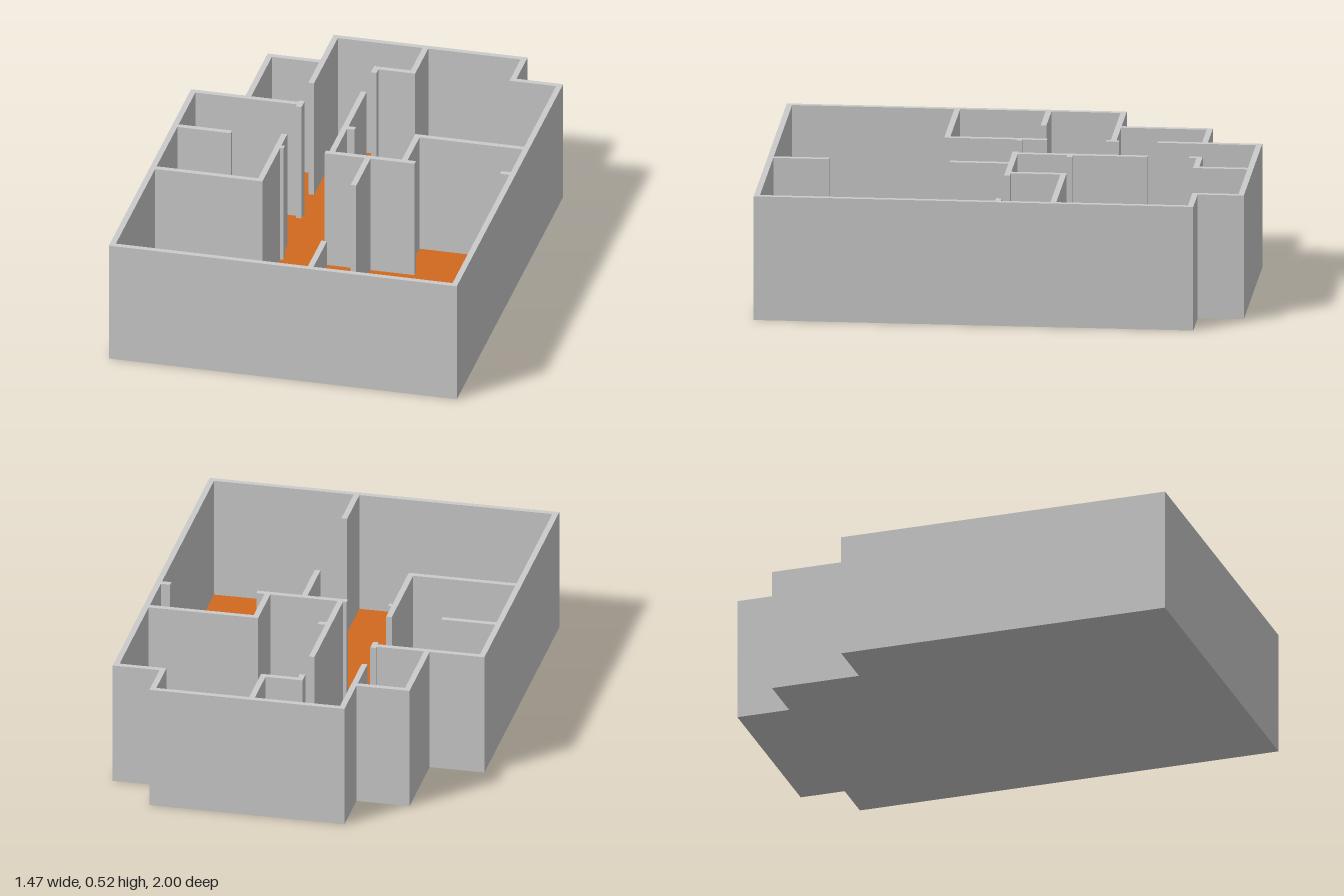
import * as THREE from 'three';

const HEIGHT = 0.525, SLAB = 0.006, T = 0.024;

// Shape from [x, z] plan points; after rotateX(-90deg) the plan lies flat
const plan = (pts) => new THREE.Shape(pts.map(([x, z]) => new THREE.Vector2(x, -z)));

function extrudeUp(shape, y0, y1) {
  const geo = new THREE.ExtrudeGeometry(shape, { depth: y1 - y0, bevelEnabled: false });
  return geo.rotateX(-Math.PI / 2).translate(0, y0, 0);
}

export function createModel() {
  const group = new THREE.Group();
  const grey = new THREE.MeshStandardMaterial({ color: 0xcccccc });
  const orange = new THREE.MeshStandardMaterial({ color: 0xd2691e });
  const add = (name, geo, mat, parent = group) => {
    const mesh = new THREE.Mesh(geo, mat);
    mesh.name = name;
    parent.add(mesh);
  };

  // Outer and inner faces of the perimeter wall
  const outer = [
    [-0.735, 1], [0.735, 1], [0.735, -0.81], [0.538, -0.81], [0.538, -1],
    [-0.282, -1], [-0.282, -0.776], [-0.505, -0.776], [-0.505, -0.4], [-0.735, -0.4],
  ];
  const inner = [
    [-0.711, 0.976], [0.711, 0.976], [0.711, -0.786], [0.514, -0.786], [0.514, -0.976],
    [-0.258, -0.976], [-0.258, -0.752], [-0.481, -0.752], [-0.481, -0.376], [-0.711, -0.376],
  ];

  add('baseSlab', extrudeUp(plan(outer), 0, SLAB), grey);
  add('floor', new THREE.ShapeGeometry(plan(inner)).rotateX(-Math.PI / 2).translate(0, SLAB + 0.001, 0), orange);
  const ring = plan(outer);
  ring.holes.push(plan(inner));
  add('outerWall', extrudeUp(ring, SLAB, HEIGHT), grey);

  // Partitions: walls along z are [x, z0, z1], walls along x are [z, x0, x1], given by centre line
  const alongZ = [
    [-0.27, -0.98, -0.57], [-0.27, -0.412, -0.358], [-0.27, -0.115, 0.308],
    [0.112, -0.98, -0.752], [-0.043, -0.776, -0.72], [-0.043, -0.55, 0.008],
    [0.263, -0.244, 0.008], [0.112, 0, 0.25], [0.112, 0.747, 0.98],
  ];
  const alongX = [
    [-0.764, -0.055, 0.124], [-0.388, -0.5, -0.258], [-0.232, -0.043, 0.0],
    [-0.232, 0.251, 0.72], [-0.004, -0.07, 0.31], [-0.004, 0.672, 0.72],
    [-0.004, -0.27, -0.243], [0.296, -0.72, -0.258], [-0.08, -0.72, -0.485],
  ];
  const partitions = new THREE.Group();
  partitions.name = 'partitionWalls';
  group.add(partitions);
  const h = HEIGHT - SLAB, y = SLAB + h / 2;
  alongZ.forEach(([x, a, b]) =>
    add('partition', new THREE.BoxGeometry(T, h, b - a).translate(x, y, (a + b) / 2), grey, partitions));
  alongX.forEach(([z, a, b]) =>
    add('partition', new THREE.BoxGeometry(b - a, h, T).translate((a + b) / 2, y, z), grey, partitions));

  return group;
}
